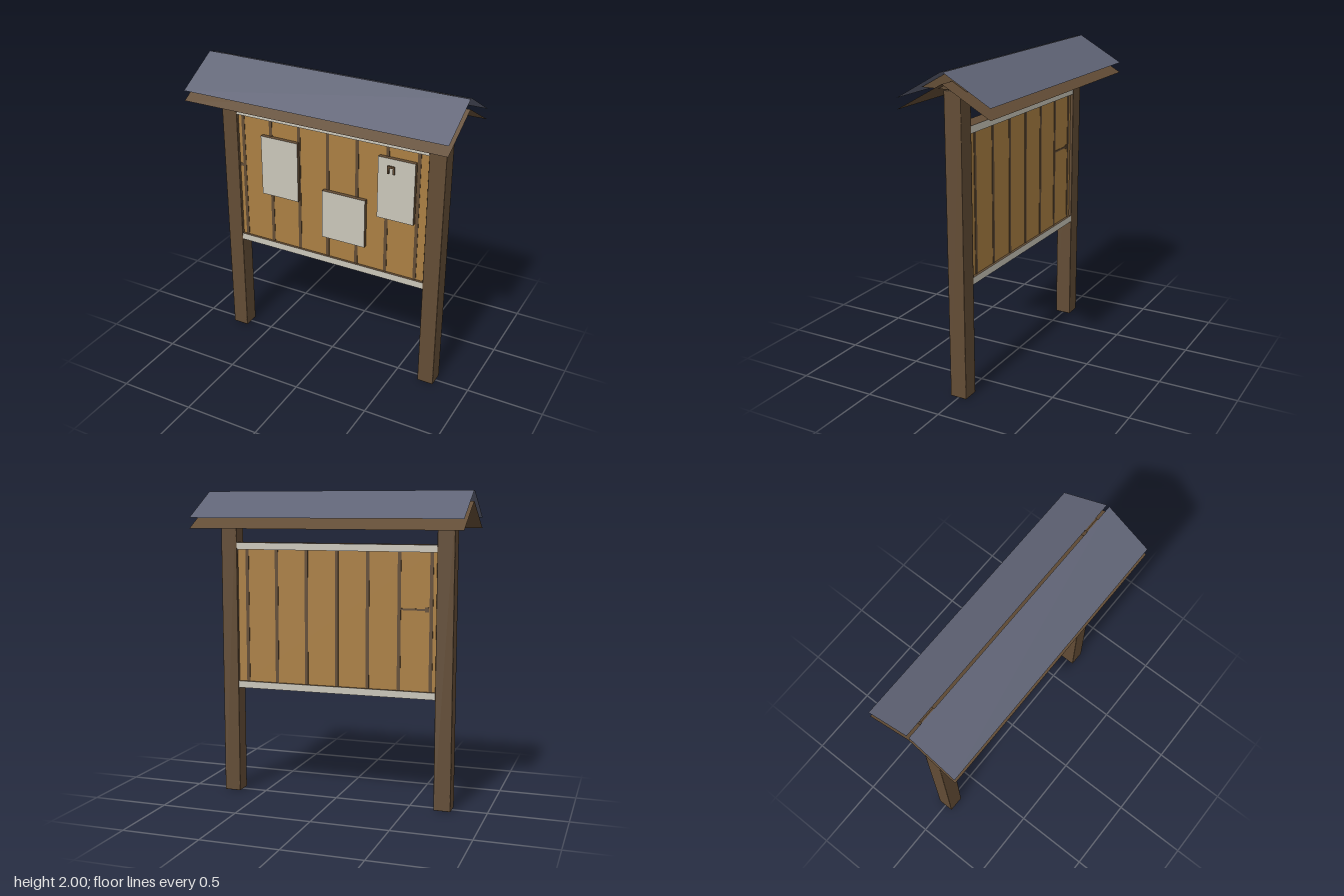
import * as THREE from 'three';
import { RoundedBoxGeometry } from 'three/addons/geometries/RoundedBoxGeometry.js';

export function createModel() {
  const group = new THREE.Group();
  const mat = (name, color, side = THREE.FrontSide) => {
    const m = new THREE.MeshStandardMaterial({ color, side });
    m.name = name;
    return m;
  };
  const brown = mat('brownWood', 0x624c35, THREE.DoubleSide);
  const board = mat('boardWood', 0xaa7f43);
  const pale = mat('paleCream', 0xcac6ba);
  const slate = mat('slateRoof', 0x5f6375, THREE.DoubleSide);

  const add = (name, geometry, material, x = 0, y = 0, z = 0) => {
    const mesh = new THREE.Mesh(geometry, material);
    mesh.name = name;
    mesh.position.set(x, y, z);
    group.add(mesh);
    return mesh;
  };
  // Box given by its limits
  const box = (name, material, x0, x1, y0, y1, z0, z1) =>
    add(name, new THREE.BoxGeometry(x1 - x0, y1 - y0, z1 - z0), material,
      (x0 + x1) / 2, (y0 + y1) / 2, (z0 + z1) / 2);

  // Posts, each with a triangular gable block on top
  for (const s of [-1, 1]) {
    add('post', new RoundedBoxGeometry(0.11, 1.88, 0.11, 1, 0.005), brown, s * 0.72, 0.94, 0);
    const tri = new THREE.Shape([
      new THREE.Vector2(-0.2, 1.885), new THREE.Vector2(0.2, 1.885), new THREE.Vector2(0, 1.997),
    ]);
    const gable = new THREE.ExtrudeGeometry(tri, { depth: 0.1, bevelEnabled: false });
    gable.translate(0, 0, -0.05).rotateY(Math.PI / 2);
    add('gable', gable, brown, s * 0.72);
  }

  // Board panel with dark plank seams on both faces
  box('panel', board, -0.666, 0.666, 0.73, 1.65, -0.035, 0.035);
  for (let i = 0; i < 7; i++) {
    const x = -0.63 + i * 0.205;
    for (const s of [-1, 1]) {
      add('plankSeam', new THREE.BoxGeometry(0.022, 0.87, 0.004), brown, x, 1.19, s * 0.036);
    }
  }

  // Rails: pale front and back, brown elsewhere
  const railMats = [brown, brown, brown, brown, pale, pale];
  box('bottomRail', railMats, -0.668, 0.668, 0.71, 0.755, -0.052, 0.052);
  box('topRail', railMats, -0.668, 0.668, 1.625, 1.67, -0.052, 0.052);

  // Wood cracks
  box('backCrack', brown, -0.61, -0.42, 1.264, 1.276, -0.038, -0.034);
  box('backCrackEnd', brown, -0.615, -0.59, 1.255, 1.285, -0.038, -0.034);
  box('frontKnot', brown, -0.664, -0.64, 1.26, 1.28, 0.034, 0.038);

  // Notices with brown edges
  const noticeMats = [brown, brown, brown, brown, pale, brown];
  for (const [x0, x1, y0, y1] of [
    [-0.483, -0.217, 1.11, 1.517], [-0.042, 0.26, 0.903, 1.235], [0.343, 0.587, 1.148, 1.558],
  ]) box('notice', noticeMats, x0, x1, y0, y1, 0.034, 0.063);

  // Small clip on the right notice
  box('clipTop', brown, 0.408, 0.456, 1.498, 1.512, 0.06, 0.072);
  box('clipSide', brown, 0.408, 0.419, 1.46, 1.5, 0.06, 0.072);
  box('clipSide', brown, 0.445, 0.456, 1.46, 1.5, 0.06, 0.072);

  // Thin roof sheets: slate above, brown below with an open gap
  const sheet = (name, material, s, z0, y0, z1, y1) => {
    const len = Math.hypot(z1 - z0, y1 - y0);
    const g = new THREE.PlaneGeometry(1.75, len);
    g.rotateX(-Math.PI / 2).rotateX(Math.atan2(y0 - y1, z1 - z0));
    g.translate(0, (y0 + y1) / 2, (z0 + z1) / 2);
    if (s < 0) g.rotateY(Math.PI);
    add(name, g, material);
  };
  for (const s of [-1, 1]) {
    sheet('roofCover', slate, s, 0.008, 1.999, 0.303, 1.831);
    sheet('roofDeck', brown, s, 0, 1.935, 0.303, 1.765);
  }
  return group;
}
